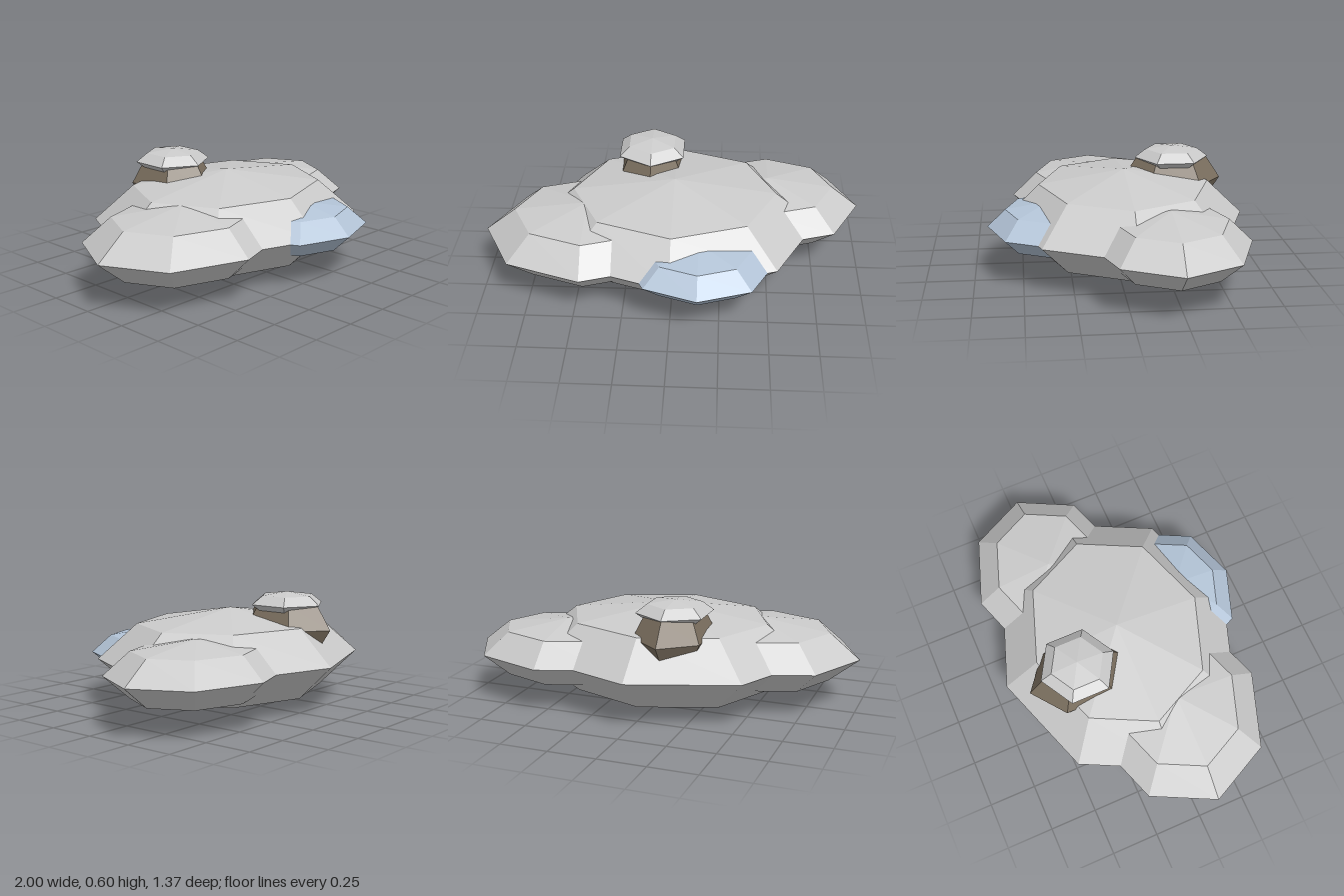
import * as THREE from 'three';

const GREY = 0xcccccc;
const BLUE = 0xb4c5d8;
const BROWN = 0x7c7060;

// Faceted ellipsoid: four bands high, given number of sides, first corner on +z when turned.
function addBlob(group, name, sides, centre, radii, color, turn = 0) {
  const geometry = new THREE.SphereGeometry(1, sides, 4);
  geometry.rotateY(turn);
  geometry.scale(...radii);
  const mesh = new THREE.Mesh(geometry, new THREE.MeshStandardMaterial({ color, flatShading: true }));
  mesh.name = name;
  mesh.position.set(...centre);
  group.add(mesh);
}

export function createModel() {
  const group = new THREE.Group();
  group.name = 'lobedRock';
  const mid = 0.257; // shared height of the widest line

  // Main mass with its two side lobes
  addBlob(group, 'mainBody', 8, [0, mid, -0.045], [0.765, 0.256, 0.64], GREY);
  addBlob(group, 'leftLobe', 8, [0.5, mid, -0.23], [0.5, 0.165, 0.41], GREY);
  addBlob(group, 'rightLobe', 8, [-0.455, mid, 0.09], [0.545, 0.182, 0.455], GREY);

  // Bluish lobe at the front
  addBlob(group, 'frontLobe', 8, [0.14, mid, 0.36], [0.382, 0.127, 0.32], BLUE);

  // Brown knob on the back and its pale cap
  addBlob(group, 'knob', 6, [-0.135, 0.42, -0.32], [0.202, 0.17, 0.27], BROWN, Math.PI / 2);
  addBlob(group, 'knobCap', 6, [-0.135, 0.541, -0.32], [0.2, 0.063, 0.2], GREY, Math.PI / 2);

  return group;
}
